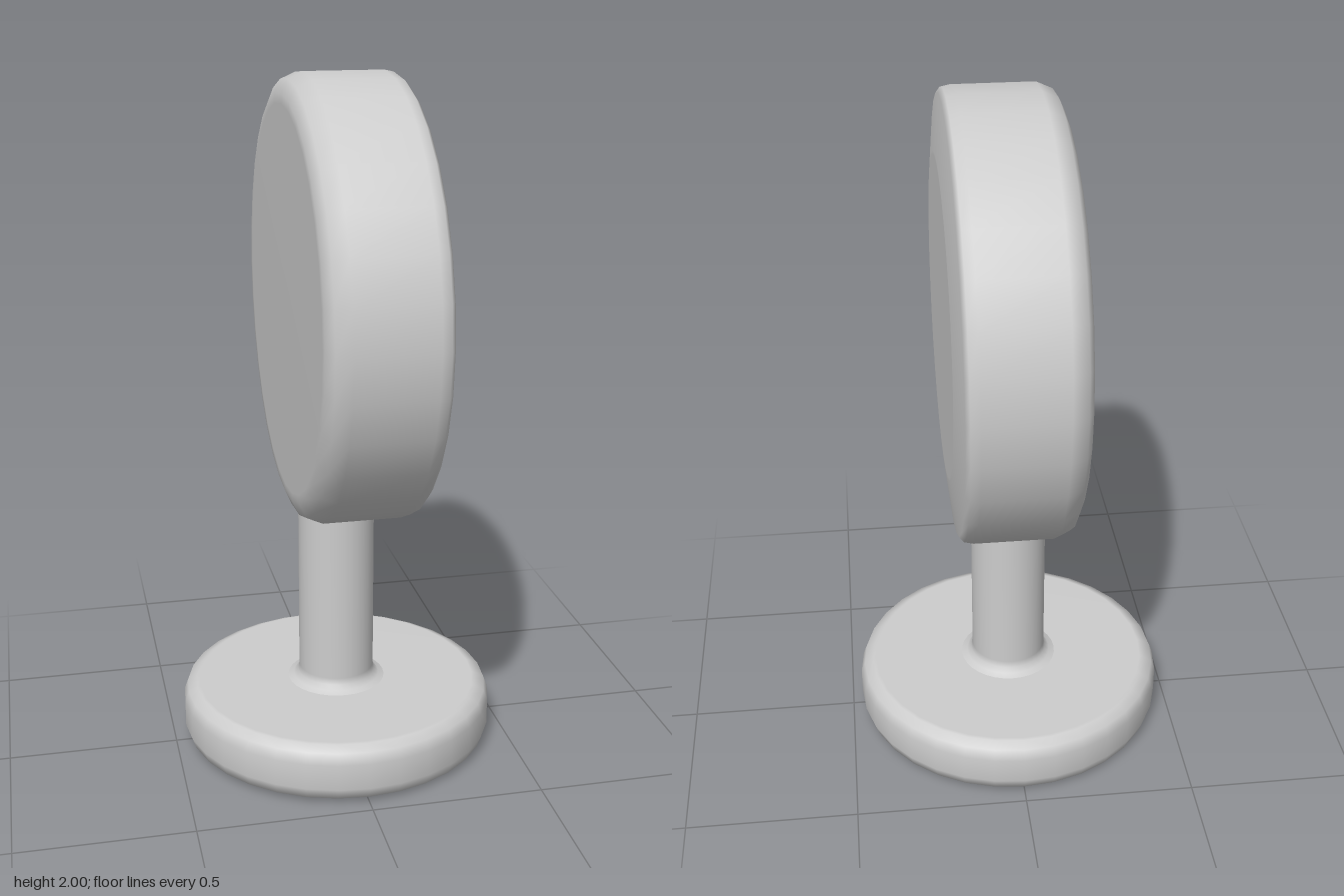
import * as THREE from 'three';

const SEGMENTS = 32;

export function createModel() {
  const model = new THREE.Group();
  const grey = new THREE.MeshStandardMaterial({ color: 0xcccccc });
  grey.name = 'lightGrey';

  // Turned part from a [radius, height] profile, listed bottom to top
  function turned(name, profile) {
    const points = profile.map(([r, y]) => new THREE.Vector2(r, y));
    const mesh = new THREE.Mesh(new THREE.LatheGeometry(points, SEGMENTS), grey);
    mesh.name = name;
    model.add(mesh);
    return mesh;
  }

  // Round foot with softened rims
  turned('base', [
    [0, 0], [0.42, 0], [0.43, 0.002], [0.457, 0.017], [0.469, 0.05],
    [0.469, 0.128], [0.457, 0.16], [0.43, 0.174], [0.42, 0.176], [0, 0.176],
  ]);

  // Stem with a small flare where it meets the foot
  turned('stem', [
    [0.152, 0.174], [0.13, 0.183], [0.117, 0.196], [0.113, 0.215], [0.113, 0.8],
  ]);

  // Upright disc, lying along x, with a shallow raised face on the left side
  const disc = turned('disc', [
    [0, -0.153], [0.55, -0.153], [0.577, -0.152], [0.617, -0.134], [0.636, -0.09],
    [0.636, 0.135], [0.63, 0.162], [0.615, 0.174], [0.46, 0.191], [0.45, 0.191], [0, 0.191],
  ]);
  disc.rotation.z = -Math.PI / 2;
  disc.position.y = 1.364;

  return model;
}
